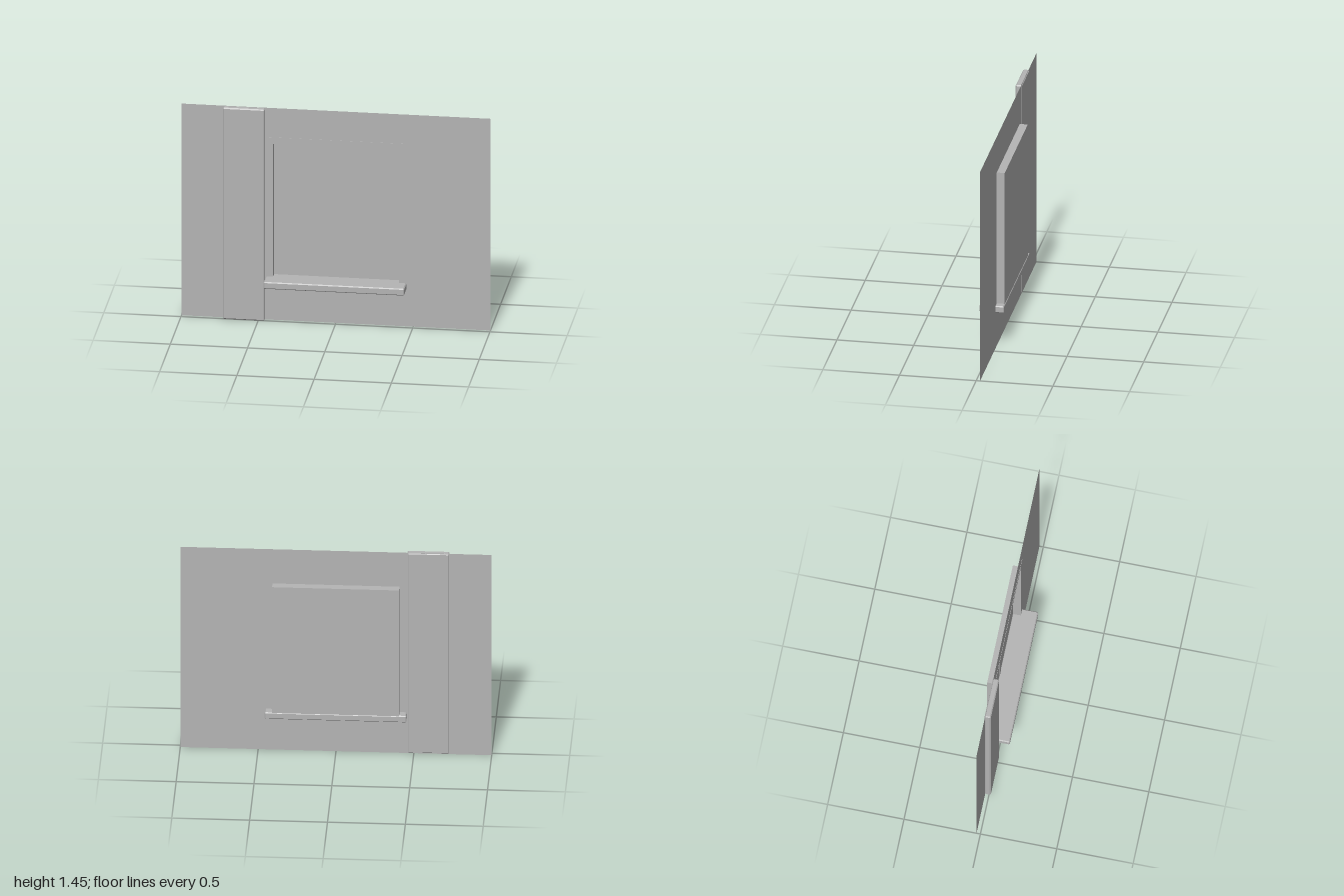
import * as THREE from 'three';
import { ConvexGeometry } from 'three/addons/geometries/ConvexGeometry.js';

export function createModel() {
  const group = new THREE.Group();
  const grey = new THREE.MeshStandardMaterial({ color: 0xb4b4b4, side: THREE.DoubleSide });
  grey.name = 'plain grey';

  const H = 1.453;            // wall height
  const wallZ = -0.025;       // wall sheet
  const backZ = -0.077;       // window sheet
  const x0 = 0.408, y0 = 0.29, y1 = 1.205; // window opening

  const add = (name, geometry, x = 0, y = 0, z = 0) => {
    const mesh = new THREE.Mesh(geometry, grey);
    mesh.name = name;
    mesh.position.set(x, y, z);
    group.add(mesh);
    return mesh;
  };

  // Box with chamfered edges
  const chamferBox = (w, h, d, c) => {
    const points = [];
    for (const sx of [-1, 1]) for (const sy of [-1, 1]) for (const sz of [-1, 1]) {
      const x = w / 2, y = h / 2, z = d / 2;
      points.push(
        new THREE.Vector3(sx * x, sy * (y - c), sz * (z - c)),
        new THREE.Vector3(sx * (x - c), sy * y, sz * (z - c)),
        new THREE.Vector3(sx * (x - c), sy * (y - c), sz * z));
    }
    return new ConvexGeometry(points);
  };

  const rectangle = (path, left, bottom, right, top) => path
    .moveTo(left, bottom).lineTo(right, bottom).lineTo(right, top).lineTo(left, top).closePath();

  // Wall sheet with the window opening
  const wall = rectangle(new THREE.Shape(), -1, 0, 1, H);
  wall.holes.push(rectangle(new THREE.Path(), -x0, y0, x0, y1));
  add('wall', new THREE.ShapeGeometry(wall), 0, 0, wallZ);

  // Recess: two sides and a top
  const depth = wallZ - backZ, midZ = (wallZ + backZ) / 2, midY = (y0 + y1) / 2;
  for (const [name, s] of [['leftReveal', 1], ['rightReveal', -1]]) {
    add(name, new THREE.PlaneGeometry(depth, y1 - y0), s * x0, midY, midZ).rotation.y = -s * Math.PI / 2;
  }
  add('topReveal', new THREE.PlaneGeometry(2 * x0, depth), 0, y1, midZ).rotation.x = Math.PI / 2;

  // Window panes and the bar between them
  add('windowPane', new THREE.PlaneGeometry(2 * x0, y1 - y0), 0, midY, backZ);
  add('windowBar', new THREE.BoxGeometry(0.027, y1 - y0, 0.003), 0, midY, backZ + 0.0015);

  // Thin lintel above the opening
  add('lintel', new THREE.BoxGeometry(0.895, 0.045, 0.002), -0.003, 1.2295, wallZ + 0.001);

  // Projecting sill and full-height shutter panel
  add('sill', chamferBox(0.91, 0.047, 0.16, 0.006), 0, 0.2715, 0);
  add('sidePanel', chamferBox(0.27, H - 0.003, 0.041, 0.007), -0.593, H / 2, -0.0085);

  return group;
}
